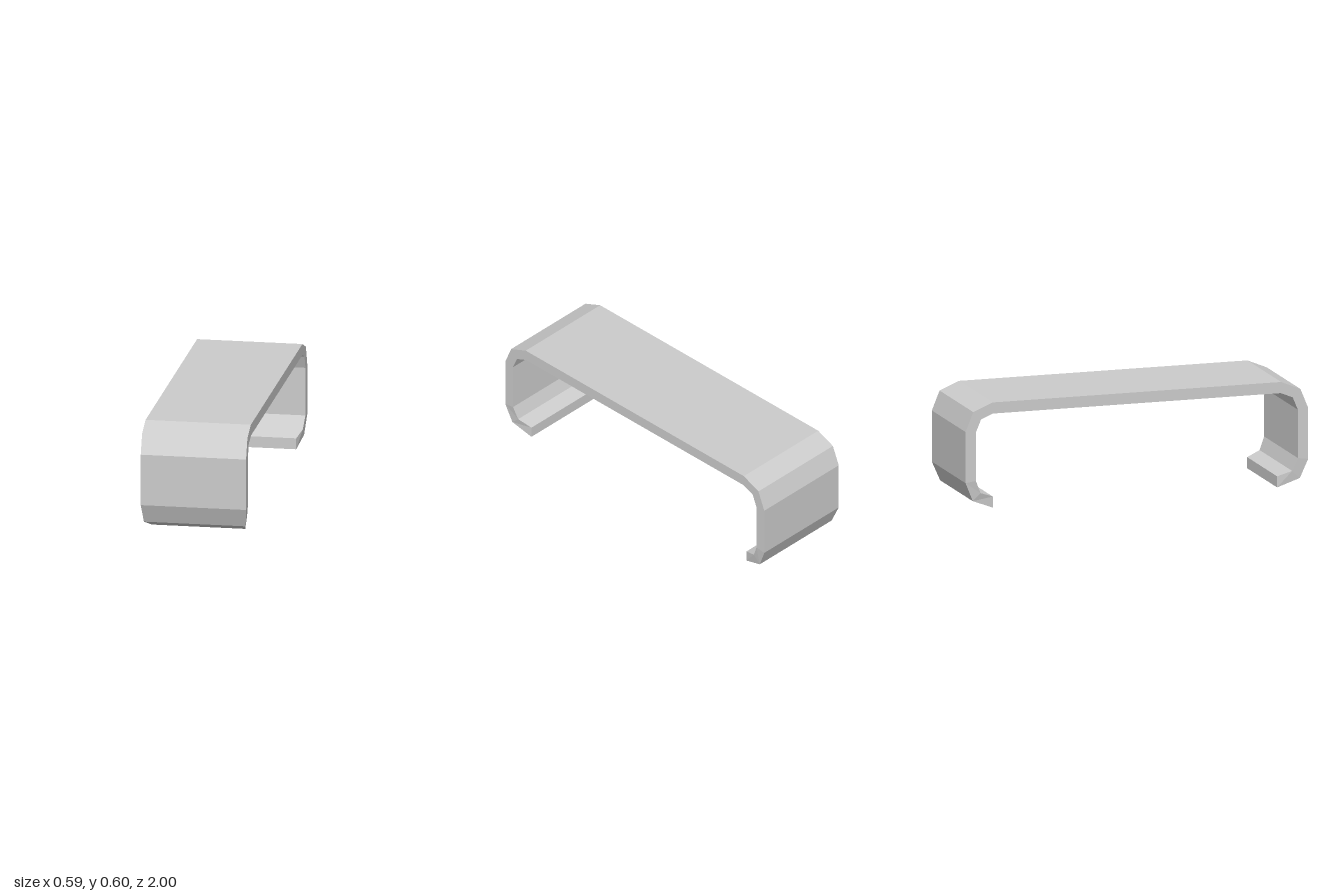
import * as THREE from 'three';

// Half of the bent strap, from the lip up to the top plate:
// [outer z, outer y, inner z, inner y, half width]
const HALF = [
  [0.83, 0, 0.83, 0.063, 0.263],
  [0.955, 0.05, 0.91, 0.093, 0.286],
  [1, 0.157, 0.94, 0.166, 0.296],
  [1, 0.447, 0.94, 0.44, 0.296],
  [0.955, 0.557, 0.91, 0.512, 0.296],
  [0.842, 0.604, 0.84, 0.541, 0.296],
];

// Sweeps a four-cornered section through all stations, with closed ends
function strapGeometry(stations) {
  const positions = [];
  const indices = [];
  for (const [oz, oy, iz, iy, w] of stations) {
    positions.push(w, oy, oz, -w, oy, oz, -w, iy, iz, w, iy, iz);
  }
  const last = (stations.length - 1) * 4;
  for (let s = 0; s < last; s += 4) {
    for (let j = 0; j < 4; j++) {
      const a = s + j;
      const b = s + ((j + 1) % 4);
      indices.push(a, a + 4, b + 4, a, b + 4, b);
    }
  }
  // Lip ends
  indices.push(0, 1, 2, 0, 2, 3);
  indices.push(last, last + 2, last + 1, last, last + 3, last + 2);

  const indexed = new THREE.BufferGeometry();
  indexed.setAttribute('position', new THREE.Float32BufferAttribute(positions, 3));
  indexed.setIndex(indices);
  const geometry = indexed.toNonIndexed();
  geometry.computeVertexNormals();
  return geometry;
}

export function createModel() {
  const group = new THREE.Group();
  group.name = 'bracket';

  // The back half mirrors the front half
  const back = HALF.map(([oz, oy, iz, iy, w]) => [-oz, oy, -iz, iy, w]).reverse();
  const strap = new THREE.Mesh(
    strapGeometry([...HALF, ...back]),
    new THREE.MeshStandardMaterial({ color: 0xcccccc, flatShading: true })
  );
  strap.name = 'bentStrap';
  group.add(strap);
  return group;
}
